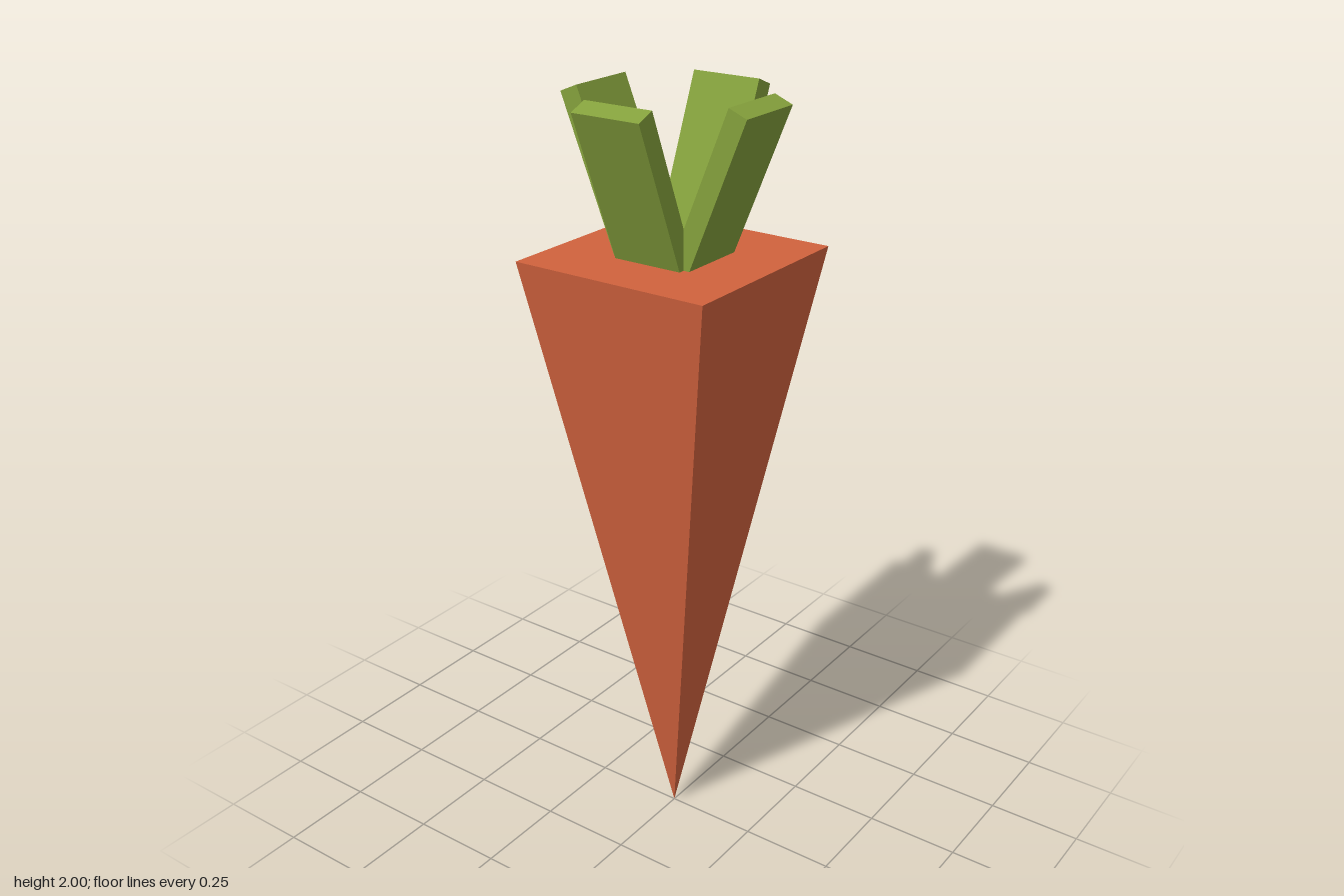
import * as THREE from 'three';

const ROOT_HEIGHT = 1.61;
const ROOT_HALF = 0.268;

export function createModel() {
  const model = new THREE.Group();
  model.name = 'carrot';

  const orange = new THREE.MeshStandardMaterial({ color: 0xd0623d, flatShading: true });
  const green = new THREE.MeshStandardMaterial({ color: 0x84a03c, flatShading: true });

  // Root: four-sided pyramid standing on its tip
  const rootShape = new THREE.CylinderGeometry(ROOT_HALF * Math.SQRT2, 0, ROOT_HEIGHT, 4)
    .rotateY(Math.PI / 4)
    .translate(0, ROOT_HEIGHT / 2, 0);
  const root = new THREE.Mesh(rootShape, orange);
  root.name = 'root';
  model.add(root);

  // Stalks: flat slabs leaning outward, hung from the centre of their top ends
  const length = 0.44;
  const stalkShape = new THREE.BoxGeometry(0.052, length, 0.187)
    .translate(0, -length / 2, 0)
    .rotateZ(-0.386)
    .translate(0.236, 1.99, 0);
  ['leftStalk', 'backStalk', 'rightStalk', 'frontStalk'].forEach((name, i) => {
    const stalk = new THREE.Mesh(stalkShape, green);
    stalk.name = name;
    stalk.rotation.y = (i * Math.PI) / 2;
    model.add(stalk);
  });

  return model;
}
